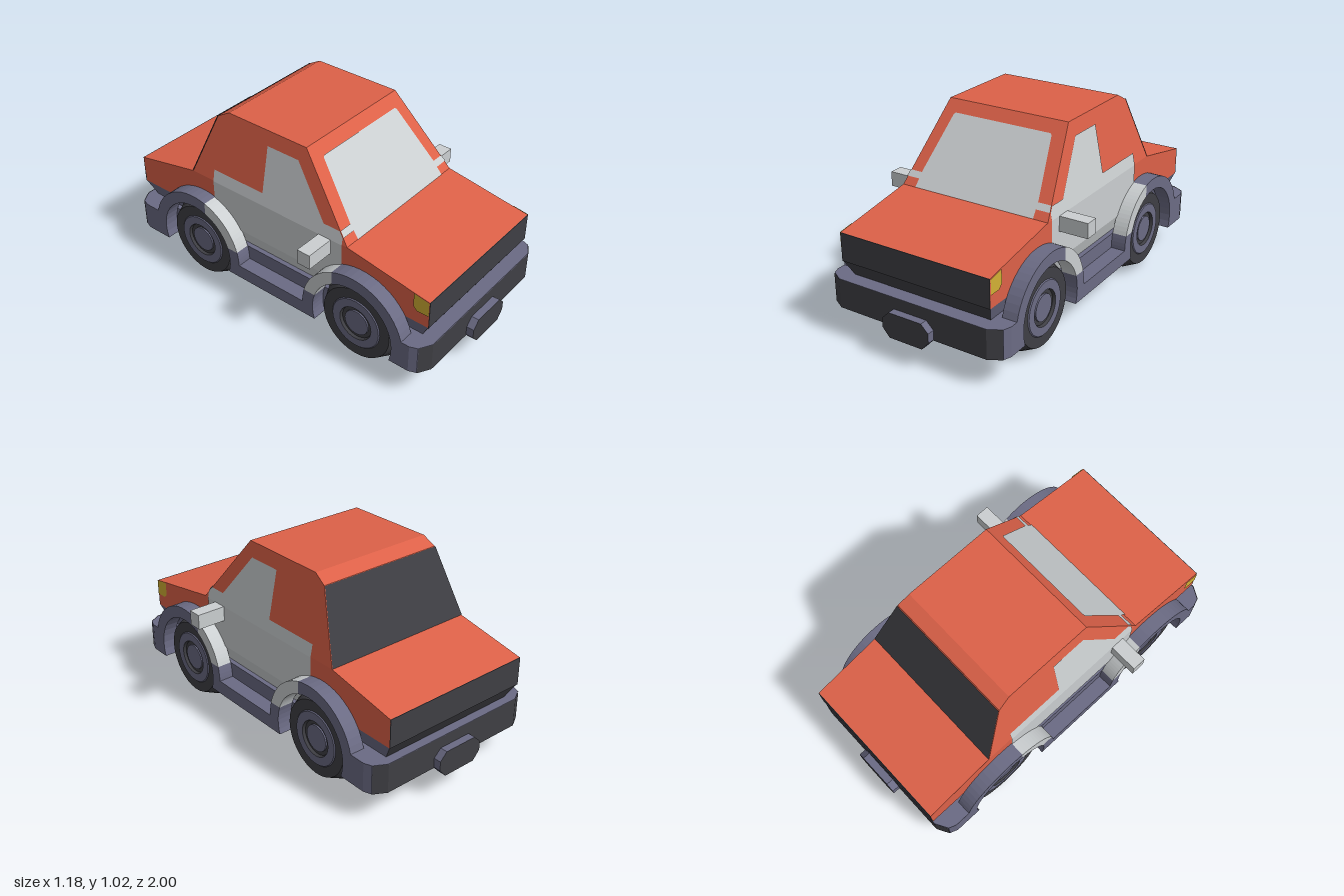
import * as THREE from 'three';
import { toCreasedNormals } from 'three/addons/utils/BufferGeometryUtils.js';

const mat = (name, color, side = THREE.FrontSide) => {
  const m = new THREE.MeshStandardMaterial({ color, side });
  m.name = name;
  return m;
};

export function createModel() {
  const car = new THREE.Group();
  car.name = 'car';
  const red = mat('red paint', 0xdd6148);
  const silver = mat('silver', 0xcbcfd1, THREE.DoubleSide);
  const trim = mat('blue grey trim', 0x6b6b84);
  const dark = mat('dark rubber', 0x3f3f44, THREE.DoubleSide);
  const yellow = mat('yellow lamp', 0xd2b035, THREE.DoubleSide);

  const add = (name, geometry, material, parent = car) => {
    const m = new THREE.Mesh(geometry, material);
    m.name = name;
    parent.add(m);
    return m;
  };
  const box = (name, w, h, d, x, y, z, material) =>
    add(name, new THREE.BoxGeometry(w, h, d), material).position.set(x, y, z);

  // Half width of the body at height y
  const halfWidth = (y) => {
    if (y < 0.4) return 0.4 + (y - 0.315) / 0.085 * 0.03;
    return y <= 0.63 ? 0.43 : 0.43 - (y - 0.63) / 0.39 * 0.08;
  };

  // Extrude a [z, y] outline along x
  const sideExtrude = (pts, depth, x0) => {
    const shape = new THREE.Shape(pts.map(([z, y]) => new THREE.Vector2(-z, y)));
    return new THREE.ExtrudeGeometry(shape, { depth, bevelEnabled: false })
      .rotateY(Math.PI / 2).translate(x0, 0, 0);
  };

  // Full-width body section whose width follows halfWidth
  const section = (name, pts, material) => {
    const g = sideExtrude(pts, 2, -1);
    const p = g.attributes.position;
    for (let i = 0; i < p.count; i++) p.setX(i, p.getX(i) * halfWidth(p.getY(i)));
    g.computeVertexNormals();
    add(name, g, material);
  };

  // Flat convex painted face from [x, y, z] corners
  const face = (name, pts, material) => {
    const g = new THREE.BufferGeometry().setFromPoints(pts.map((p) => new THREE.Vector3(...p)));
    const index = [];
    for (let i = 1; i < pts.length - 1; i++) index.push(0, i, i + 1);
    g.setIndex(index);
    g.computeVertexNormals();
    add(name, g, material);
  };

  // Body shell
  section('lowerBody', [[0.88, 0.315], [0.925, 0.4], [-0.96, 0.4], [-0.91, 0.315]], [trim, dark]);
  section('mainBody', [[0.925, 0.4], [0.925, 0.55], [0.45, 0.63], [-0.57, 0.63], [-0.96, 0.55], [-0.96, 0.4]], red);
  section('cabin', [[0.45, 0.63], [0.14, 1.02], [-0.36, 1.02], [-0.43, 0.98], [-0.57, 0.63]], red);

  // Grille and tail panel
  box('grille', 0.86, 0.15, 0.006, 0, 0.475, 0.925, dark);
  box('tailPanel', 0.86, 0.15, 0.006, 0, 0.475, -0.96, dark);

  // Windscreen, lying just off the sloping front of the cabin
  const screen = (x, y) => [x, y + 0.003, 0.45 - (y - 0.63) * 0.31 / 0.39 + 0.004];
  face('windscreen', [
    [-0.35, 0.63], [0.35, 0.63], [0.345, 0.7], [0.29, 0.955], [0.28, 0.962],
    [-0.28, 0.962], [-0.29, 0.955], [-0.345, 0.7],
  ].map((p) => screen(...p)), silver);
  face('rearWindow', [
    [0.43, 0.632, -0.574], [-0.43, 0.632, -0.574], [-0.358, 0.98, -0.435], [0.358, 0.98, -0.435],
  ], dark);

  // Side paint: doors, windows and lamps
  const panels = [
    ['doorBottom', [[0.42, 0.315], [-0.42, 0.315], [-0.42, 0.4], [0.42, 0.4]], silver],
    ['door', [[0.42, 0.4], [-0.42, 0.4], [-0.42, 0.63], [0.42, 0.63]], silver],
    ['doorTop', [[0.42, 0.63], [-0.42, 0.63], [-0.42, 0.695], [0.398, 0.695], [0.42, 0.667]], silver],
    ['sideWindow', [[0.3, 0.695], [-0.09, 0.695], [-0.09, 0.945], [0.105, 0.945]], silver],
    ['headlamp', [[0.925, 0.47], [0.925, 0.55], [0.84, 0.564], [0.84, 0.49], [0.86, 0.47]], yellow],
  ];

  // Arch outline helpers, local to a wheel centre: u toward the doors, v up
  const R = 0.305, r = 0.24, axle = 0.235;
  const arc = (rad, a0, a1, n = 14) => Array.from({ length: n + 1 }, (_, i) => {
    const a = a0 + (a1 - a0) * i / n;
    return [rad * Math.cos(a), rad * Math.sin(a)];
  });
  const low = Math.asin(-0.075 / r);

  for (const side of [1, -1]) {
    for (const [name, pts, material] of panels) {
      const corners = pts.map(([z, y]) => [side * (halfWidth(y) + 0.004), y, z]);
      face(name, side > 0 ? corners : corners.reverse(), material);
    }
    face('pillarStrip', [[0.342, 0.667], [0.423, 0.667], [0.417, 0.695], [0.342, 0.695]]
      .map(([x, y]) => screen(side * x, y)), silver);
    box('mirror', 0.18, 0.08, 0.075, side * 0.5, 0.59, 0.316, silver);
    box('sill', 0.08, 0.075, 0.43, side * 0.47, 0.1975, 0.02, trim);

    // Fenders: one arch over each wheel, silver where it overlaps the door
    for (const [centre, s, edge, end] of [[0.54, 1, 0.12, 0.34], [-0.5, -1, 0.08, 0.38]]) {
      const arch = (name, pts, material) => add(name, sideExtrude(
        pts.map(([u, v]) => [centre - s * u, axle + v]), 0.08, side > 0 ? 0.43 : -0.51), material);
      const aR = Math.acos(edge / R), ar = Math.acos(edge / r);
      const bR = Math.asin(0.08 / R), br = Math.asin(0.08 / r);
      arch('fender', [
        ...arc(r, ar, Math.PI - low), [-end, -0.075], [-end, 0.08], ...arc(R, Math.PI - bR, aR),
      ], trim);
      arch('fenderDoorPart', [...arc(R, aR, bR), ...arc(r, br, ar)], silver);
      arch('fenderFoot', [...arc(R, bR, 0, 4), [R, -0.075], ...arc(r, low, br, 6)], trim);
    }
  }

  // Floor and bumpers with angled corners
  box('floor', 0.86, 0.155, 1.76, 0, 0.2375, 0, trim);
  for (const f of [1, -1]) {
    const plan = [[-0.51, 0.88], [0.51, 0.88], [0.495, 0.92], [0.43, 0.957], [-0.43, 0.957], [-0.495, 0.92]];
    const shape = new THREE.Shape(plan.map(([x, z]) => new THREE.Vector2(x, -f * z)));
    add('bumper', new THREE.ExtrudeGeometry(shape, { depth: 0.155, bevelEnabled: false })
      .rotateX(-Math.PI / 2).translate(0, 0.16, 0), trim);
    const front = [[-0.495, 0.92], [-0.43, 0.957], [0.43, 0.957], [0.495, 0.92]];
    for (let i = 0; i < 3; i++) {
      const [[xa, za], [xb, zb]] = [front[i], front[i + 1]];
      const q = [[xa, 0.16, f * (za + 0.003)], [xb, 0.16, f * (zb + 0.003)],
        [xb, 0.315, f * (zb + 0.003)], [xa, 0.315, f * (za + 0.003)]];
      face('bumperFace', f > 0 ? q : q.reverse(), dark);
    }

    // Plate block with clipped corners, dark on its flat face
    const oct = [[-0.135, 0.165], [-0.095, 0.12], [0.095, 0.12], [0.135, 0.165],
      [0.135, 0.215], [0.095, 0.255], [-0.095, 0.255], [-0.135, 0.215]];
    const plate = new THREE.Shape(oct.map(([x, y]) => new THREE.Vector2(x, y)));
    add('plateBlock', new THREE.ExtrudeGeometry(plate, { depth: 0.05, bevelEnabled: false })
      .translate(0, 0, f > 0 ? 0.95 : -1), [dark, trim]);
  }

  // Wheels: lathed rings of [radius, distance out from the car's centre line]
  const rings = [
    ['tyre', [[0, 0.195], [0.2, 0.195], [0.235, 0.27], [0.235, 0.395], [0.2, 0.47], [0.145, 0.47]], dark],
    ['rim', [[0.145, 0.47], [0.14, 0.475], [0.095, 0.475]], trim],
    ['hubRing', [[0.095, 0.475], [0.09, 0.46], [0.07, 0.46]], dark],
    ['hub', [[0.07, 0.46], [0.07, 0.468], [0, 0.468]], trim],
  ];
  for (const side of [1, -1]) {
    for (const z of [0.54, -0.5]) {
      const wheel = new THREE.Group();
      wheel.name = 'wheel';
      wheel.position.set(0, axle, z);
      for (const [name, pts, material] of rings) {
        const g = new THREE.LatheGeometry(pts.map((p) => new THREE.Vector2(...p)), 32);
        add(name, toCreasedNormals(g.rotateZ(-side * Math.PI / 2), 0.35), material, wheel);
      }
      car.add(wheel);
    }
  }
  return car;
}
